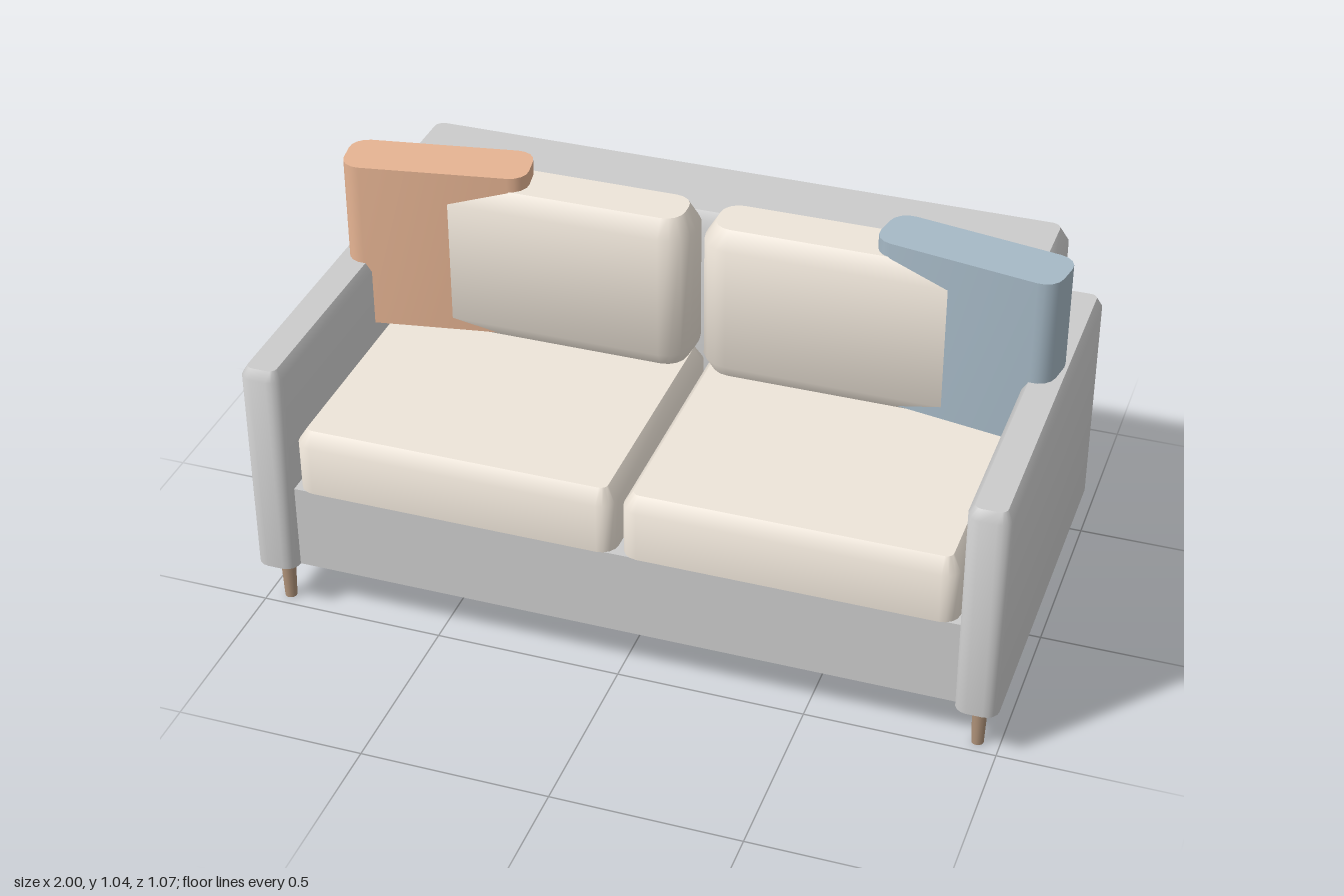
import * as THREE from 'three';
import { toCreasedNormals } from 'three/addons/utils/BufferGeometryUtils.js';

const material = (color) => new THREE.MeshStandardMaterial({ color });

// Upright block with rounded vertical corners; layers are [inset, y] from bottom to top.
function paddedBlock(width, depth, radius, layers, cornerSteps = 4) {
  const ring = ([inset, y]) => {
    const points = [];
    for (let corner = 0; corner < 4; corner++) {
      const cx = (corner === 0 || corner === 3 ? 1 : -1) * (width / 2 - radius);
      const cz = (corner < 2 ? 1 : -1) * (depth / 2 - radius);
      for (let i = 0; i <= cornerSteps; i++) {
        const a = (corner + i / cornerSteps) * Math.PI / 2;
        points.push([cx + (radius - inset) * Math.cos(a), y, cz + (radius - inset) * Math.sin(a)]);
      }
    }
    return points;
  };
  const rings = layers.map(ring);
  const positions = [];
  const triangle = (a, b, c) => positions.push(...a, ...b, ...c);
  const count = rings[0].length;
  const bottom = rings[0], top = rings[rings.length - 1];
  for (let i = 0; i < count; i++) {
    const j = (i + 1) % count;
    for (let k = 0; k + 1 < rings.length; k++) {
      triangle(rings[k][i], rings[k + 1][i], rings[k][j]);
      triangle(rings[k][j], rings[k + 1][i], rings[k + 1][j]);
    }
    triangle([0, top[0][1], 0], top[j], top[i]);
    triangle([0, bottom[0][1], 0], bottom[i], bottom[j]);
  }
  const geometry = new THREE.BufferGeometry();
  geometry.setAttribute('position', new THREE.Float32BufferAttribute(positions, 3));
  return toCreasedNormals(geometry, 0.7);
}

export function createModel() {
  const sofa = new THREE.Group();
  sofa.name = 'sofa';
  const grey = material(0xcccccc);
  const cream = material(0xeee5d9);
  const wood = material(0xb0937a);
  const orange = material(0xe6b493);
  const blue = material(0xa6b9c6);

  const add = (name, geometry, mat, x, y, z) => {
    const mesh = new THREE.Mesh(geometry, mat);
    mesh.name = name;
    mesh.position.set(x, y, z);
    sofa.add(mesh);
    return mesh;
  };

  // Frame: base and overhanging backrest
  add('base', new THREE.BoxGeometry(1.78, 0.24, 0.99), grey, 0, 0.26, 0);
  add('backrest', paddedBlock(1.8, 0.28, 0.05, [[0, 0.38], [0, 0.91], [0.025, 0.95]]),
    grey, 0, 0, -0.392);

  // Shapes shared by both sides
  const arm = paddedBlock(0.112, 1.066, 0.035, [[0, 0.14], [0, 0.724], [0.016, 0.75]]);
  const seat = paddedBlock(0.87, 0.76, 0.045, [[0, 0.38], [0, 0.52], [0.026, 0.56]]);
  const backCushion = paddedBlock(0.86, 0.19, 0.08,
    [[0.03, 0.55], [0, 0.6], [0, 0.95], [0.03, 1.0]]);
  const pillow = paddedBlock(0.497, 0.155, 0.05, [[0, 0.565], [0, 1.04]]);
  const leg = new THREE.CylinderGeometry(0.021, 0.016, 0.14, 12);

  for (const side of [1, -1]) {
    const label = side > 0 ? 'left' : 'right';
    add(label + 'Arm', arm, grey, side * 0.944, 0, 0);
    add(label + 'SeatCushion', seat, cream, side * 0.443, 0, 0.12);
    add(label + 'BackCushion', backCushion, cream, side * 0.443, 0, -0.185);

    // Throw pillow turned toward the middle
    const throwPillow = add(label + 'Pillow', pillow, side > 0 ? blue : orange, side * 0.725, 0, -0.16);
    throwPillow.rotation.y = -side * Math.PI / 18;

    // Tapered legs
    for (const end of [1, -1]) {
      add(label + (end > 0 ? 'FrontLeg' : 'BackLeg'), leg, wood, side * 0.943, 0.07, end * 0.46);
    }
  }
  return sofa;
}
